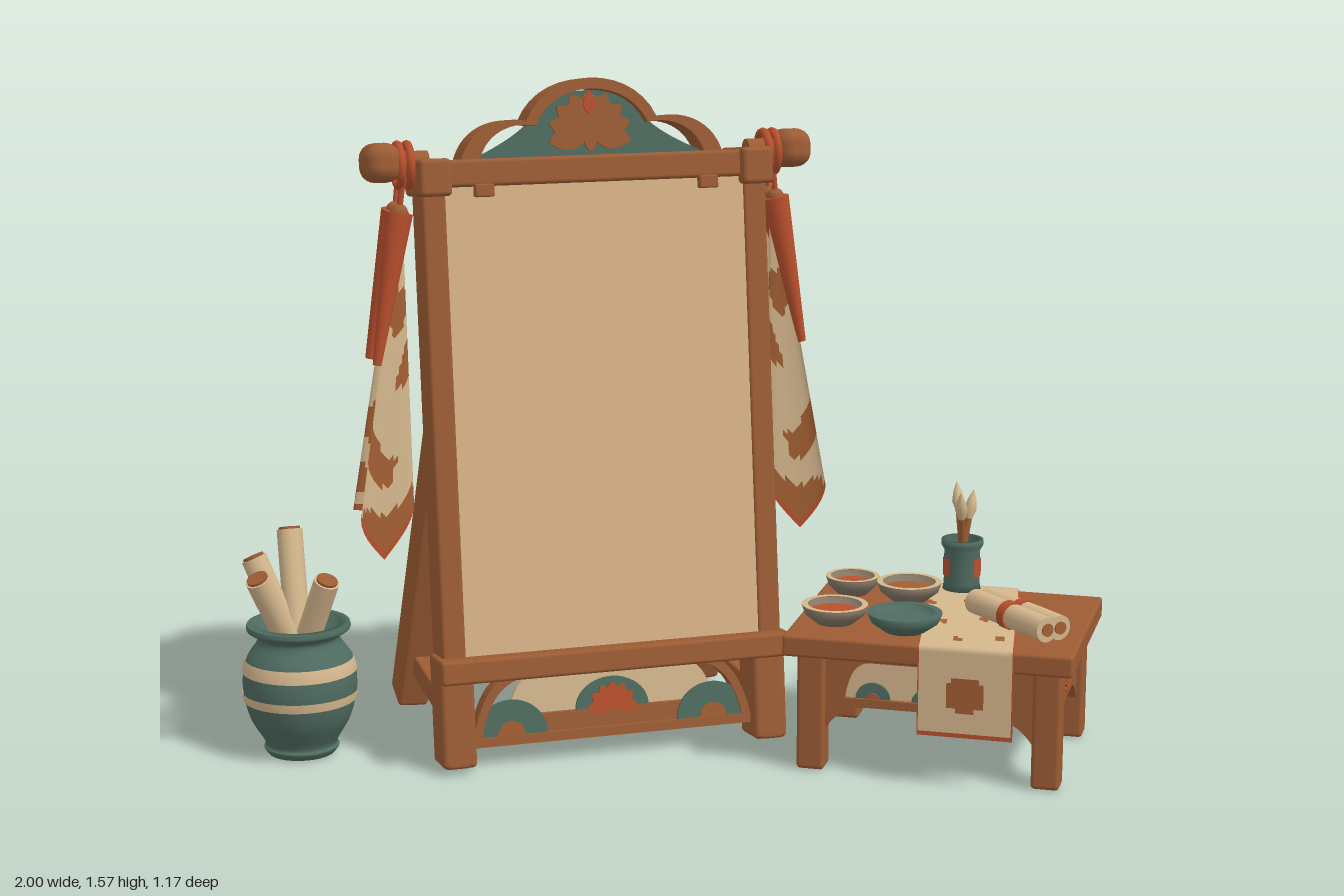
import * as THREE from 'three';
import { RoundedBoxGeometry } from 'three/addons/geometries/RoundedBoxGeometry.js';

const V = (x, y, z) => new THREE.Vector3(x, y, z);
const material = (name, color, open) => {
  const m = new THREE.MeshStandardMaterial({ color });
  m.name = name;
  if (open) m.side = THREE.DoubleSide;
  return m;
};

export function createModel() {
  const wood = material('wood', 0x9c5c34), teal = material('teal', 0x4f6c61, true);
  const cream = material('cream', 0xd5b78d, true), canvasTan = material('canvas tan', 0xd8b488);
  const red = material('red', 0xb9502d, true), blotch = material('blotch brown', 0xa25f33, true);
  const clay = material('clay', 0x857766, true);
  const model = new THREE.Group();
  model.name = 'easelAndPaintingTable';

  const group = (name, parent = model) => {
    const g = new THREE.Group();
    g.name = name;
    parent.add(g);
    return g;
  };
  const add = (parent, name, geo, mat, x = 0, y = 0, z = 0) => {
    const m = new THREE.Mesh(geo, mat);
    m.name = name;
    m.position.set(x, y, z);
    parent.add(m);
    return m;
  };
  const box = (p, name, mat, w, h, d, x, y, z, round = 0.15) =>
    add(p, name, new RoundedBoxGeometry(w, h, d, 3, Math.min(w, h, d) * round), mat, x, y, z);
  const between = (m, a, b) => {
    m.position.copy(a).lerp(b, 0.5);
    m.quaternion.setFromUnitVectors(V(0, 1, 0), b.clone().sub(a).normalize());
    return m;
  };
  const beam = (p, name, a, b, w, d) => between(box(p, name, wood, w, a.distanceTo(b), d, 0, 0, 0), a, b);
  const rod = (p, name, mat, a, b, r, r2 = r) =>
    between(add(p, name, new THREE.CylinderGeometry(r2, r, a.distanceTo(b), 18), mat), a, b);
  const plate = (p, name, shape, depth, mat, x = 0, y = 0, z = 0) =>
    add(p, name, new THREE.ExtrudeGeometry(shape, { depth, bevelEnabled: false, curveSegments: 14 })
      .translate(0, 0, -depth / 2), mat, x, y, z);
  const lathe = (p, name, pts, mat, x, y, z) =>
    add(p, name, new THREE.LatheGeometry(pts.map(q => new THREE.Vector2(q[0], q[1])), 36), mat, x, y, z);

  // Cloth sheet: place(u, v) gives the point, pick(u, v) the material number of each cell
  const sheet = (p, name, nu, nv, place, pick, mats) => {
    const geo = new THREE.PlaneGeometry(1, 1, nu, nv), pos = geo.attributes.position, uv = geo.attributes.uv;
    for (let i = 0; i < pos.count; i++) pos.setXYZ(i, ...place(uv.getX(i), 1 - uv.getY(i)));
    const cells = mats.map(() => []), old = geo.index.array;
    for (let q = 0; q < nu * nv; q++) {
      const k = pick((q % nu + 0.5) / nu, (Math.floor(q / nu) + 0.5) / nv);
      cells[k].push(...old.slice(q * 6, q * 6 + 6));
    }
    geo.setIndex(cells.flat());
    let start = 0;
    cells.forEach((c, k) => { geo.addGroup(start, c.length, k); start += c.length; });
    geo.computeVertexNormals();
    return add(p, name, geo, mats);
  };

  // Fan of pointed petals
  const petal = r => {
    const s = new THREE.Shape();
    s.moveTo(0, 0);
    s.quadraticCurveTo(r * 0.55, r * 0.5, 0, r);
    s.quadraticCurveTo(-r * 0.55, r * 0.5, 0, 0);
    return s;
  };
  const lotus = (p, r, mat, x, y, z, n = 7, spread = 1.5) => {
    const g = group('lotus', p);
    g.position.set(x, y, z);
    for (let i = 0; i < n; i++) {
      const a = (i / (n - 1) * 2 - 1) * spread;
      plate(g, 'petal', petal(r), 0.008, mat).rotation.z = a;
    }
  };
  const dome = (w, h) => {
    const s = new THREE.Shape();
    s.moveTo(w / 2, 0);
    s.absellipse(0, 0, w / 2, h, 0, Math.PI);
    return s;
  };
  const trapezoid = (S, w, y0, y1, cut) => {
    const s = new S();
    s.moveTo(-w / 2, y0);
    s.lineTo(w / 2, y0);
    s.quadraticCurveTo(w / 2 - cut * 0.2, y1, w / 2 - cut, y1);
    s.lineTo(-w / 2 + cut, y1);
    s.quadraticCurveTo(-w / 2 + cut * 0.2, y1, -w / 2, y0);
    return s;
  };
  const panelDecor = (p, w, y, size, z, lift) => {
    for (const s of [-1, 1]) {
      plate(p, 'cloudOrnament', dome(size * 1.6, size * 0.75), 0.008, teal, s * w, y, z);
      plate(p, 'cloudCore', dome(size * 0.6, size * 0.3), 0.008, blotch, s * w, y, z + 0.004);
    }
    plate(p, 'centreCloud', dome(size * 1.6, size * 0.65), 0.008, teal, 0, y + lift, z);
    lotus(p, size * 0.55, red, 0, y + lift, z + 0.006);
  };

  // Leaning front frame
  const frame = group('easelFrame');
  frame.position.set(-0.17, 0.007, -0.013);
  frame.rotation.x = -0.126;
  for (const s of [-1, 1]) {
    box(frame, 'post', wood, 0.055, 1.37, 0.115, s * 0.38, 0.685, 0);
    box(frame, 'foot', wood, 0.08, 0.22, 0.115, s * 0.376, 0.11, 0);
    box(frame, 'cornerBlock', wood, 0.074, 0.085, 0.18, s * 0.38, 1.355, 0.003);
    box(frame, 'clip', wood, 0.045, 0.03, 0.05, s * 0.265, 1.322, 0.05);
    rod(frame, 'railEnd', wood, V(s * 0.38, 1.385, 0), V(s * 0.48, 1.385, 0), 0.032);
    box(frame, 'knob', wood, 0.084, 0.09, 0.13, s * 0.488, 1.392, -0.004, 0.42);
    for (const d of [0.425, 0.447])
      add(frame, 'cordRing', new THREE.TorusGeometry(0.047, 0.01, 8, 24), red, s * d, 1.385, -0.004).rotation.y = Math.PI / 2;
  }
  box(frame, 'topRail', wood, 0.76, 0.062, 0.14, 0, 1.362, -0.003);
  box(frame, 'bottomRail', wood, 0.84, 0.056, 0.14, 0, 0.231, 0.033);
  box(frame, 'canvas', canvasTan, 0.71, 1.09, 0.022, 0, 0.79, 0.042);

  // Scalloped crest with lotus
  const crestShape = (S, k) => {
    const s = new S(), b = 1.39, P = (x, y) => [x * k, b + (y - b) * k];
    s.moveTo(...P(0.31, b));
    s.bezierCurveTo(...P(0.29, 1.46), ...P(0.22, 1.49), ...P(0.155, 1.475));
    s.bezierCurveTo(...P(0.1, 1.6), ...P(-0.1, 1.6), ...P(-0.155, 1.475));
    s.bezierCurveTo(...P(-0.22, 1.49), ...P(-0.29, 1.46), ...P(-0.31, b));
    s.lineTo(...P(0.31, b));
    return s;
  };
  const rim = crestShape(THREE.Shape, 1);
  rim.holes.push(crestShape(THREE.Path, 0.86));
  plate(frame, 'crestRim', rim, 0.09, wood, 0, 0, -0.006);
  const fill = new THREE.Shape();
  fill.moveTo(-0.29, 1.385);
  fill.quadraticCurveTo(-0.18, 1.43, -0.14, 1.47);
  fill.bezierCurveTo(-0.08, 1.565, 0.08, 1.565, 0.14, 1.47);
  fill.quadraticCurveTo(0.18, 1.43, 0.29, 1.385);
  plate(frame, 'crestPanel', fill, 0.03, teal, 0, 0, -0.006);
  lotus(frame, 0.1, wood, 0, 1.442, 0.016, 9, 1.75);
  lotus(frame, 0.048, wood, 0, 1.447, 0.018, 7, 3.1);
  plate(frame, 'redPetal', petal(0.055), 0.008, red, 0, 1.483, 0.022);

  // Carved panel under the frame
  const skirt = trapezoid(THREE.Shape, 0.68, 0.038, 0.215, 0.14);
  skirt.holes.push(trapezoid(THREE.Path, 0.63, 0.06, 0.195, 0.125));
  plate(frame, 'skirtRim', skirt, 0.045, wood);
  plate(frame, 'skirtPanel', trapezoid(THREE.Shape, 0.5, 0.095, 0.2, 0.08), 0.012, cream);
  box(frame, 'skirtBar', wood, 0.42, 0.05, 0.02, 0, 0.08, 0);
  panelDecor(frame, 0.245, 0.06, 0.11, 0.012, 0.045);

  // Rear support
  const rear = group('rearSupport');
  for (const s of [-1, 1]) {
    beam(rear, 'backLeg', V(-0.17 + s * 0.377, 0.012, -0.54), V(-0.17 + s * 0.3, 1.07, -0.228), 0.075, 0.1);
    beam(rear, 'sideStretcher', V(-0.17 + s * 0.37, 0.11, -0.03), V(-0.17 + s * 0.36, 0.11, -0.49), 0.04, 0.055);
    beam(rear, 'sideStrut', V(-0.17 + s * 0.37, 0.79, -0.12), V(-0.17 + s * 0.325, 0.77, -0.3), 0.035, 0.05);
  }
  beam(rear, 'centreLeg', V(-0.17, 0.01, -0.46), V(-0.17, 1.06, -0.235), 0.068, 0.07);
  box(rear, 'topCrossbar', wood, 0.7, 0.06, 0.06, -0.17, 1.06, -0.218);
  box(rear, 'hingeBlock', wood, 0.1, 0.072, 0.065, -0.17, 1.08, -0.252);
  for (const s of [-1, 1])
    rod(rear, 'peg', wood, V(-0.17 + s * 0.024, 1.08, -0.27), V(-0.17 + s * 0.024, 1.08, -0.292), 0.013);
  box(rear, 'lowCrossbar', wood, 0.66, 0.04, 0.035, -0.17, 0.115, -0.45);

  // Tassels and patterned drapes, mirrored
  const spots = (u, v) => Math.sin(u * 7 + v * 9 + 1) * Math.sin(v * 19 - u * 4) > 0.25;
  for (const s of [-1, 1]) {
    const hang = group(s > 0 ? 'leftHanging' : 'rightHanging'), X = d => -0.17 + s * d;
    for (const t of [-1, 1]) {
      const top = V(X(0.45), 1.275, -0.197 + t * 0.022), end = V(X(0.512), 0.93, -0.2 + t * 0.045);
      rod(hang, 'cord', red, V(X(0.437), 1.38, -0.195 + t * 0.03), top, 0.007);
      add(hang, 'bead', new THREE.SphereGeometry(0.021, 16, 12), wood, top.x, top.y, top.z);
      rod(hang, 'tassel', red, top, end, 0.032, 0.01);
    }
    sheet(hang, 'drape', 40, 48, (u, v) => {
      const low = 0.58 - 0.105 * Math.max(0, 1 - Math.abs(u - 0.15) / 0.15);
      return [X(0.445 + 0.052 * v + (0.005 + 0.062 * v) * Math.cos(Math.PI * 3 * u)),
        1.27 + (low - 1.27) * v, -0.193 + (0.5 - u) * (0.035 + 0.11 * v)];
    }, (u, v) => (v > 0.97 || (v > 0.5 && u > 0.97) ? 2 : spots(u, v) ? 1 : 0), [cream, blotch, red]);
  }

  // Scroll jar
  const jar = group('scrollJar');
  jar.position.set(-0.866, 0, -0.24);
  const profile = new THREE.SplineCurve([[0.078, 0], [0.088, 0.015], [0.085, 0.03], [0.118, 0.09], [0.133, 0.16],
    [0.125, 0.225], [0.098, 0.27], [0.1, 0.288], [0.12, 0.3], [0.12, 0.314]].map(q => new THREE.Vector2(...q)))
    .getPoints(90).map(q => [q.x, q.y]);
  lathe(jar, 'jarBody', [[0, 0], ...profile, [0.1, 0.315], [0.085, 0.27], [0, 0.25]], teal, 0, 0, 0);
  for (const [lo, hi] of [[0.125, 0.155], [0.198, 0.235]])
    lathe(jar, 'jarBand', profile.filter(q => q[1] > lo && q[1] < hi).map(q => [q[0] + 0.003, q[1]]), cream, 0, 0, 0);
  for (const [x, y, z] of [[-0.09, 0.46, -0.06], [0, 0.515, -0.09], [-0.1, 0.44, 0.06], [0.055, 0.43, 0.085]]) {
    const tip = V(x, y, z), foot = V(-x * 0.25, 0.16, -z * 0.25), dir = tip.clone().sub(foot).normalize();
    rod(jar, 'scroll', cream, foot, tip, 0.03);
    rod(jar, 'scrollCore', wood, tip, tip.clone().addScaledVector(dir, 0.006), 0.025);
  }

  // Low table, turned
  const table = group('table');
  table.position.set(0.583, 0, 0.192);
  table.rotation.y = -0.564;
  box(table, 'tableTop', wood, 0.665, 0.05, 0.515, 0, 0.302, 0);
  for (const x of [-0.272, 0.272]) for (const z of [-0.195, 0.195])
    box(table, 'tableLeg', wood, 0.065, 0.28, 0.065, x, 0.14, z);
  const apron = (w, x, z, turn) => {
    const g = group('apron', table), h = w / 2, s = new THREE.Shape();
    g.position.set(x, 0, z);
    g.rotation.y = turn;
    s.moveTo(-h, 0.28);
    s.lineTo(-h, 0.08);
    s.quadraticCurveTo(-h + 0.035, 0.15, -h + 0.1, 0.155);
    s.lineTo(h - 0.1, 0.155);
    s.quadraticCurveTo(h - 0.035, 0.15, h, 0.08);
    s.lineTo(h, 0.28);
    s.holes.push(trapezoid(THREE.Path, w - 0.11, 0.175, 0.262, 0.06));
    plate(g, 'apronRim', s, 0.032, wood);
    plate(g, 'apronPanel', trapezoid(THREE.Shape, w - 0.1, 0.17, 0.265, 0.06), 0.01, cream);
    panelDecor(g, w * 0.26, 0.176, 0.05, 0.008, 0);
  };
  for (const s of [-1, 1]) {
    apron(0.5, 0, s * 0.195, s > 0 ? 0 : Math.PI);
    apron(0.35, s * 0.272, 0, s * Math.PI / 2);
  }

  // Runner across the table, hanging at both ends, with a red lining that shows as a hem
  const runner = (u, v, inset, hem) => {
    const t = v * 0.94, z = Math.min(Math.max(t - 0.208, 0), 0.532) - 0.266;
    const drop = Math.max(0.208 - t, 0, t - 0.74);
    return [-0.048 + 0.212 * u + z * 0.13, 0.331 - inset - drop * hem, z * (1 - inset * 3.6)];
  };
  sheet(table, 'runner', 20, 80, (u, v) => runner(u, v, 0, 1), (u, v) => {
    const disc = Math.min(Math.abs(v - 0.1), Math.abs(v - 0.905)) * 0.94;
    const mark = v > 0.22 && v < 0.78 && Math.sin(u * 8 + v * 11) * Math.sin(v * 27 - u * 5) > 0.85;
    return mark || Math.hypot((u - 0.5) * 0.212, disc) < 0.045 ? 1 : 0;
  }, [cream, blotch]);
  sheet(table, 'runnerLining', 4, 80, (u, v) => runner(u * 1.03 - 0.015, v, 0.003, 1.04), () => 0, [red]);

  // Paint dishes
  const dishes = group('paintDishes');
  for (const [x, z, r, paint, body] of [[0.44, -0.05, 0.064, red, clay], [0.55, 0.04, 0.077, blotch, clay],
    [0.315, 0.17, 0.077, red, clay], [0.445, 0.28, 0.086, teal, teal]]) {
    lathe(dishes, 'dish', [[0, 0], [r * 0.55, 0], [r * 0.9, 0.022], [r, 0.042], [r * 0.85, 0.042], [r * 0.75, 0.02], [0, 0.014]], body, x, 0.328, z);
    add(dishes, 'dishRim', new THREE.RingGeometry(r * 0.82, r, 32), body === teal ? teal : cream, x, 0.3725, z).rotation.x = -Math.PI / 2;
    add(dishes, 'paint', new THREE.CylinderGeometry(r * 0.8, r * 0.78, 0.006, 28), paint, x, 0.353, z);
  }

  // Brush pot
  const pot = group('brushPot');
  pot.position.set(0.703, 0.328, -0.005);
  lathe(pot, 'pot', [[0, 0], [0.046, 0], [0.043, 0.02], [0.043, 0.1], [0.05, 0.112], [0.05, 0.126], [0.04, 0.126], [0.038, 0.02], [0, 0.02]], teal, 0, 0, 0);
  for (const a of [0.3, 1.9, 4.4])
    add(pot, 'potPatch', new THREE.CylinderGeometry(0.0455, 0.0455, 0.045, 8, 1, true, a, 0.8), red, 0, 0.06, 0);
  for (const [x, h, z] of [[-0.025, 0.25, 0.045], [0.032, 0.24, -0.012], [0.005, 0.255, -0.055]]) {
    const tip = V(x, h, z), foot = V(-x * 0.4, 0.03, -z * 0.4), neck = foot.clone().lerp(tip, 0.7);
    rod(pot, 'brushHandle', wood, foot, neck, 0.008);
    between(lathe(pot, 'bristles', [[0.008, -0.036], [0.015, -0.012], [0.01, 0.012], [0, 0.036]], cream, 0, 0, 0), neck, tip);
  }

  // Double scroll lying on the runner
  const lying = group('openScroll');
  lying.position.set(0.697, 0.362, 0.34);
  lying.rotation.y = 0.23;
  for (const x of [-0.018, 0.018]) {
    rod(lying, 'scrollRoll', cream, V(x, 0, -0.138), V(x, 0, 0.138), 0.029);
    rod(lying, 'scrollCore', blotch, V(x, 0, -0.142), V(x, 0, 0.142), 0.015);
    rod(lying, 'scrollTie', red, V(x, 0, -0.012), V(x, 0, 0.012), 0.033);
  }
  return model;
}
